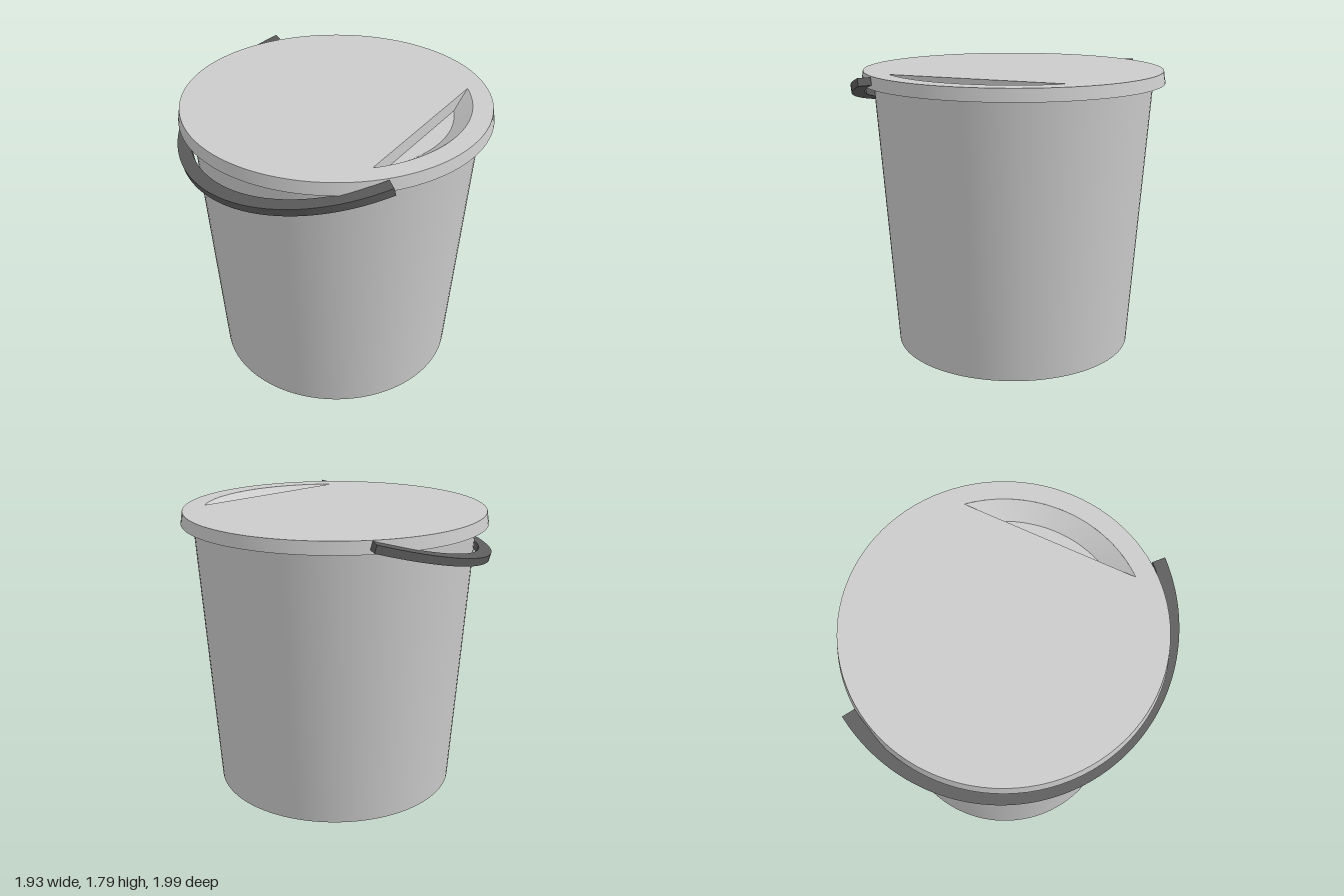
import * as THREE from 'three';
import { toCreasedNormals } from 'three/addons/utils/BufferGeometryUtils.js';

const SEGMENTS = 96;
const LID_TOP = 1.795;
const grey = new THREE.MeshStandardMaterial({ color: 0xcccccc });
const dark = new THREE.MeshStandardMaterial({ color: 0x5c5c5c });

function part(name, geometry, material = grey) {
  const flat = geometry.index ? geometry.toNonIndexed() : geometry;
  const mesh = new THREE.Mesh(toCreasedNormals(flat, 0.5), material);
  mesh.name = name;
  return mesh;
}

function lathe(profile) {
  return new THREE.LatheGeometry(profile.map(([r, y]) => new THREE.Vector2(r, y)), SEGMENTS);
}

// Finger recess: a circular segment with a sloped outer wall, flat floor and upright chord wall
const CHORD = 0.603, RIM_R = 0.82, FLOOR_R = 0.715, DEPTH = 0.08;
const rimHalf = Math.acos(CHORD / RIM_R);
const floorHalf = Math.acos(CHORD / FLOOR_R);

function recessGeometry() {
  const n = 32, pos = [];
  const at = (r, a, y) => [r * Math.cos(a), y, r * Math.sin(a)];
  const top = i => at(RIM_R, rimHalf * (2 * i / n - 1), LID_TOP);
  const low = i => at(FLOOR_R, floorHalf * (2 * i / n - 1), LID_TOP - DEPTH);
  const tri = (...corners) => corners.forEach(c => pos.push(...c));
  for (let i = 0; i < n; i++) {
    tri(top(i), low(i), top(i + 1));
    tri(low(i), low(i + 1), top(i + 1));
    if (i > 0) tri(low(0), low(i + 1), low(i));
  }
  tri(top(0), top(n), low(n));
  tri(top(0), low(n), low(0));
  const geometry = new THREE.BufferGeometry();
  geometry.setAttribute('position', new THREE.Float32BufferAttribute(pos, 3));
  geometry.computeVertexNormals();
  return geometry;
}

function createLid() {
  const lid = new THREE.Group();
  lid.name = 'lid';

  // Overhanging skirt, open underneath
  lid.add(part('lidSkirt', lathe([
    [0.885, 1.775], [0.925, 1.775], [0.935, 1.72], [0.955, 1.72], [0.943, LID_TOP],
  ])));

  // Flat top with the recess outline cut out
  const disc = new THREE.Shape().absarc(0, 0, 0.943, 0, Math.PI * 2);
  const hole = new THREE.Path().absarc(0, 0, RIM_R, -rimHalf, rimHalf);
  hole.closePath();
  disc.holes.push(hole);
  const top = new THREE.ShapeGeometry(disc, SEGMENTS / 2);
  top.rotateX(-Math.PI / 2).translate(0, LID_TOP, 0);
  lid.add(part('lidTop', top), part('fingerRecess', recessGeometry()));

  lid.rotation.y = THREE.MathUtils.degToRad(-36);
  return lid;
}

// Half-ring handle, hanging tilted against the side
function createHandle() {
  const half = THREE.MathUtils.degToRad(85);
  const ring = new THREE.Shape();
  ring.absarc(0, 0, 1.036, -half, half, false);
  ring.absarc(0, 0, 0.955, half, -half, true);
  ring.closePath();
  const geometry = new THREE.ExtrudeGeometry(ring, { depth: 0.048, bevelEnabled: false, curveSegments: 48 });
  geometry.translate(0, 0, -0.024).rotateX(-Math.PI / 2);
  geometry.rotateZ(THREE.MathUtils.degToRad(-15.5));
  geometry.translate(-0.03, 1.792, 0);
  geometry.rotateY(THREE.MathUtils.degToRad(198));
  return part('handle', geometry, dark);
}

export function createModel() {
  const model = new THREE.Group();
  model.name = 'bucketWithLid';

  // Tapered hollow bucket
  model.add(part('bucketBody', lathe([
    [0, 0], [0.77, 0], [0.884, 1.775], [0.864, 1.775], [0.75, 0.02], [0, 0.02],
  ])));
  model.add(createLid(), createHandle());

  // The handle sticks out to one side, so the bucket sits slightly off centre
  model.position.set(0.012, 0, -0.035);
  const root = new THREE.Group();
  root.name = 'bucket';
  root.add(model);
  return root;
}
